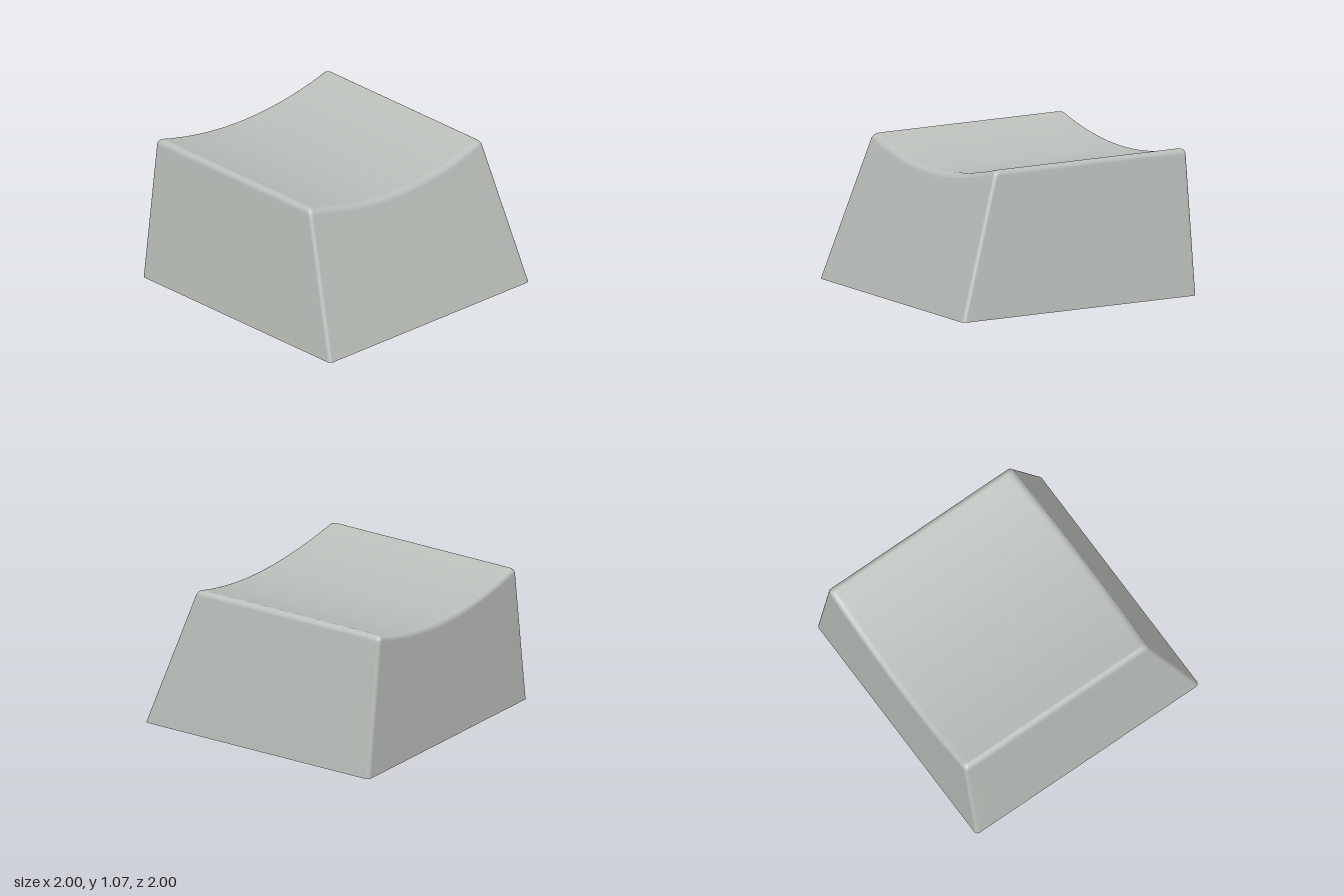
import * as THREE from 'three';

const CORNERS = [[1, 1], [1, -1], [-1, -1], [-1, 1]];
const ARC = 6, SIDE = 20, FILLET = 0.04, WALL = 0.1;

// Cylindrical dish across the top
const dish = x => 0.95 + 0.12 * Math.min(Math.abs(x) / 0.83, 1) ** 2;

// One point of the tapered, rounded outline; inset moves it inwards
function outlinePoint(cornerIndex, angle, y, inset, r) {
  const [sx, sz] = CORNERS[cornerIndex % 4];
  const halfWidth = 1 - 0.13 * y - inset;
  const front = 1 - 0.34 * y - inset, back = -1 + inset;
  return [
    sx * (halfWidth - r) + r * Math.sin(angle),
    (sz > 0 ? front - r : back + r) + r * Math.cos(angle),
  ];
}

// Closed loop of points; heightAt gives y for each x
function ring(heightAt, inset = 0, r = 0.03) {
  const points = [];
  const add = (i, angle, j, t) => {
    let y = heightAt(0.85), x, z;
    // settle height and taper together
    for (let n = 0; n < 4; n++) {
      const a = outlinePoint(i, angle, y, inset, r);
      const b = outlinePoint(j, angle, y, inset, r);
      x = a[0] + (b[0] - a[0]) * t;
      z = a[1] + (b[1] - a[1]) * t;
      y = heightAt(x);
    }
    points.push([x, y, z]);
  };
  for (let i = 0; i < 4; i++) {
    for (let k = 0; k < ARC; k++) add(i, (i + k / ARC) * Math.PI / 2, i, 0);
    for (let k = 0; k < SIDE; k++) add(i, (i + 1) * Math.PI / 2, i + 1, k / SIDE);
  }
  return points;
}

// Skin a stack of equal loops
function skin(rings) {
  const n = rings[0].length, index = [];
  for (let i = 0; i < rings.length - 1; i++) {
    for (let j = 0; j < n; j++) {
      const a = i * n + j, b = i * n + (j + 1) % n;
      index.push(a, b, a + n, b, b + n, a + n);
    }
  }
  const geometry = new THREE.BufferGeometry();
  geometry.setAttribute('position', new THREE.Float32BufferAttribute(rings.flat(2), 3));
  geometry.setIndex(index);
  geometry.computeVertexNormals();
  return geometry;
}

export function createModel() {
  const group = new THREE.Group();
  group.name = 'keycap';
  const plastic = new THREE.MeshStandardMaterial({ color: 0xb9beb9, side: THREE.DoubleSide });
  plastic.name = 'pale grey plastic';
  const add = (name, geometry) => {
    const mesh = new THREE.Mesh(geometry, plastic);
    mesh.name = name;
    group.add(mesh);
  };

  // Outer shell: sloping walls, rounded top edge, dished top
  const outer = [0, 0.03, 0.25, 0.5, 0.75, 0.96, 1].map(f => ring(x => f * (dish(x) - FILLET)));
  for (let k = 1; k <= 6; k++) {
    const a = k / 6 * Math.PI / 2;
    outer.push(ring(x => dish(x) - FILLET * (1 - Math.sin(a)), FILLET * (1 - Math.cos(a))));
  }
  const edge = outer[outer.length - 1];
  const centreZ = -0.17;
  for (const s of [0.98, 0.9, 0.8, 0.7, 0.6, 0.5, 0.4, 0.3, 0.2, 0.1, 0.001]) {
    outer.push(edge.map(([x, , z]) => [x * s, dish(x * s), centreZ + (z - centreZ) * s]));
  }
  add('outerShell', skin(outer));

  // Flat rim around the open underside
  add('bottomRim', skin([ring(() => 0, WALL), ring(() => 0)]));

  // Inner lining, reaching part of the way up
  add('innerWall', skin([1, 0.75, 0.5, 0.25, 0].map(f => ring(x => f * 0.47 * dish(x), WALL))));

  return group;
}
